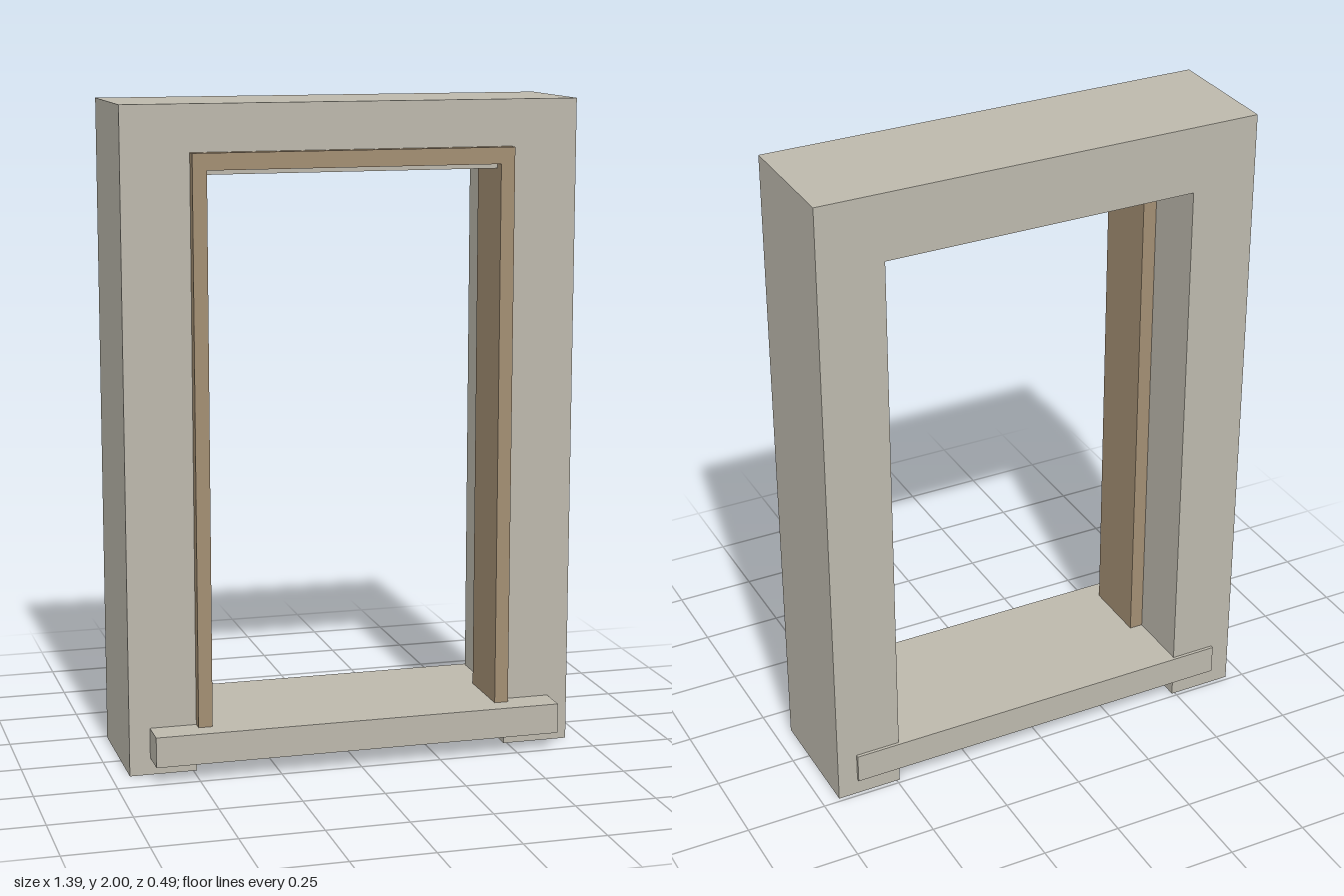
import * as THREE from 'three';

export function createModel() {
  const model = new THREE.Group();
  const stone = new THREE.MeshStandardMaterial({ color: 0xbcb8ac });
  const wood = new THREE.MeshStandardMaterial({ color: 0xa28e73 });

  // Box given by its extents along each axis
  const block = (name, material, [x0, x1], [y0, y1], [z0, z1]) => {
    const mesh = new THREE.Mesh(new THREE.BoxGeometry(x1 - x0, y1 - y0, z1 - z0), material);
    mesh.position.set((x0 + x1) / 2, (y0 + y1) / 2, (z0 + z1) / 2);
    mesh.name = name;
    model.add(mesh);
  };

  const outer = 0.695, opening = 0.49, inner = 0.447;
  const wallZ = [-0.237, 0.15], frameZ = [-0.03, 0.184];
  const sillTop = 0.145, frameTop = 1.86, headBottom = 1.81;

  // Mirrored stone piers and wooden jambs
  for (const [side, s] of [['left', 1], ['right', -1]]) {
    const span = (a, b) => (s > 0 ? [a, b] : [-b, -a]);
    block(side + 'Pier', stone, span(opening, outer), [0, 2], wallZ);
    block(side + 'Jamb', wood, span(inner, opening), [sillTop, frameTop], frameZ);
  }

  // Stone lintel and sill
  block('lintel', stone, [-opening, opening], [1.795, 2], wallZ);
  block('sill', stone, [-0.632, 0.632], [0.052, sillTop], [-0.247, 0.247]);

  // Wooden head of the frame, set into the lintel
  block('frameHead', wood, [-inner, inner], [headBottom, frameTop], frameZ);

  return model;
}
